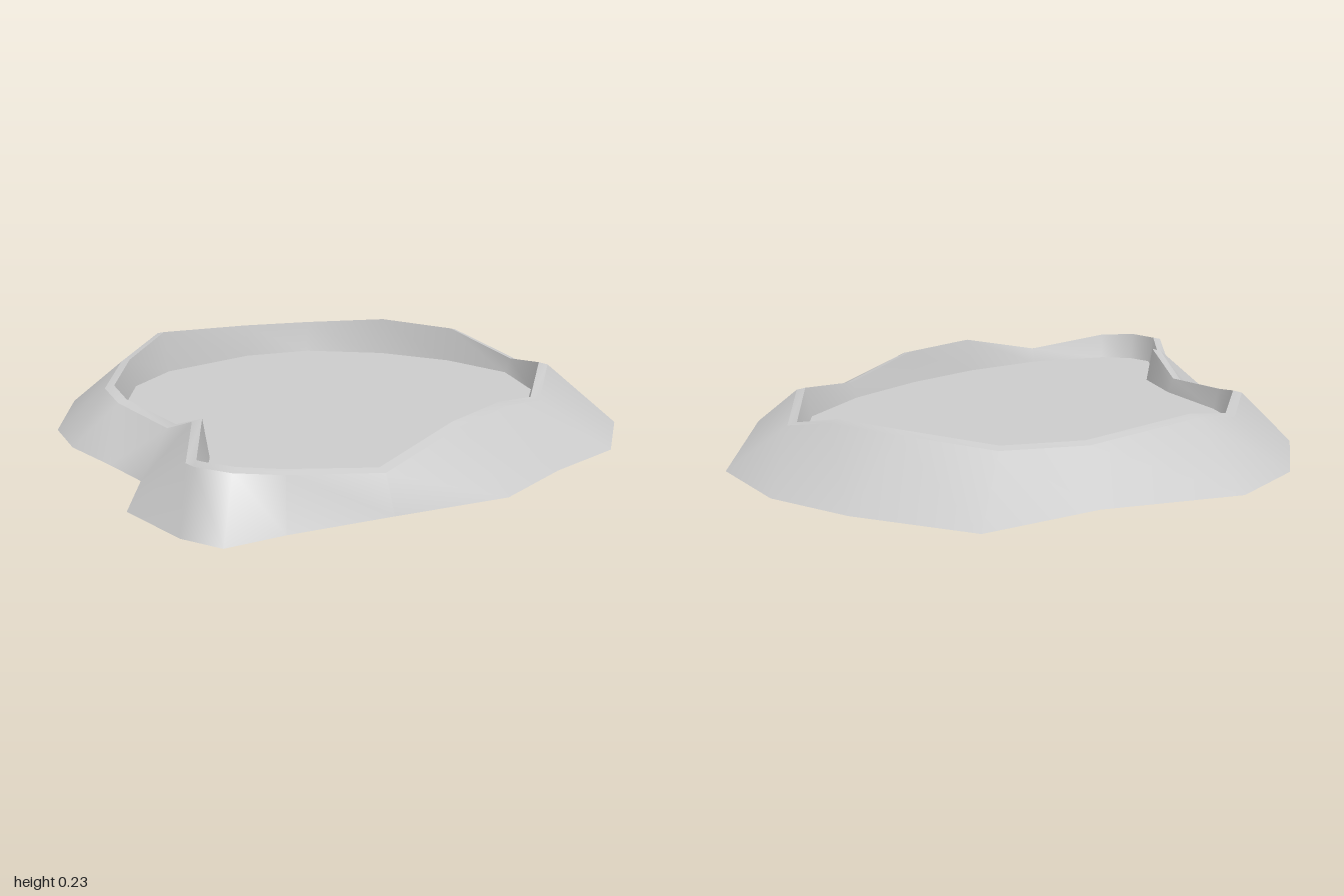
import * as THREE from 'three';

const WATER_Y = 0.09;

// One station per row around the pond: water edge x, z | crest height | outer foot x, y, z
const stations = [
  [-0.30, -0.67, 0.235, -0.40, 0.02, -0.88],
  [0.07, -0.74, 0.205, 0.13, 0.07, -1.00],
  [0.31, -0.69, 0.20, 0.46, 0.02, -0.94],
  [0.53, -0.50, 0.22, 0.76, 0.02, -0.65],
  [0.67, -0.26, 0.21, 0.93, 0.02, -0.40],
  [0.73, 0.01, 0.14, 1.00, 0.02, -0.06],
  [0.64, 0.27, 0.19, 0.77, 0.02, 0.55],
  [0.42, 0.49, 0.145, 0.53, 0.02, 0.79],
  [0.15, 0.66, 0.205, 0.24, 0.02, 0.87],
  [-0.12, 0.78, 0.21, -0.05, 0.02, 0.99],
  [-0.42, 0.85, 0.14, -0.42, 0.02, 0.95],
  [-0.71, 0.83, 0.18, -0.75, 0.02, 0.92],
  [-0.81, 0.77, 0.187, -0.94, 0.02, 0.92],
  [-0.85, 0.69, 0.185, -1.00, 0.02, 0.79],
  [-0.81, 0.57, 0.15, -1.00, 0.00, 0.46],
  [-0.69, 0.38, 0.21, -0.87, 0.02, 0.28],
  [-0.67, 0.16, 0.14, -0.88, 0.02, 0.08],
  [-0.70, -0.13, 0.16, -0.90, 0.02, -0.16],
  [-0.69, -0.24, 0.18, -0.86, 0.02, -0.38],
  [-0.50, -0.53, 0.185, -0.66, 0.02, -0.71],
];
const count = stations.length;
const edge = stations.map(([x, , , , , ], i) => new THREE.Vector2(x, stations[i][1]));

// Outward mitred offset of the water edge
function offset(i, distance) {
  const p = edge[i];
  const a = p.clone().sub(edge[(i + count - 1) % count]).normalize();
  const b = edge[(i + 1) % count].clone().sub(p).normalize();
  const n = new THREE.Vector2(a.y + b.y, -a.x - b.x).normalize();
  const mitre = distance / Math.max(0.6, n.x * b.y - n.y * b.x);
  return p.clone().addScaledVector(n, mitre);
}

// Ring of points at an offset from the water edge, heights given by a rule
function ring(distance, heightOf) {
  return stations.map((s, i) => {
    const p = offset(i, distance);
    return new THREE.Vector3(p.x, heightOf(s), p.y);
  });
}

// Closed, smooth-shaded band between two rings
function band(name, inner, outer, material) {
  const index = [];
  for (let i = 0; i < count; i++) {
    const j = (i + 1) % count;
    index.push(i, j, count + i, j, count + j, count + i);
  }
  const geometry = new THREE.BufferGeometry().setFromPoints([...inner, ...outer]);
  geometry.setIndex(index);
  geometry.computeVertexNormals();
  const mesh = new THREE.Mesh(geometry, material);
  mesh.name = name;
  return mesh;
}

export function createModel() {
  const group = new THREE.Group();
  group.name = 'pond';
  const material = new THREE.MeshStandardMaterial({ color: 0xcccccc, side: THREE.DoubleSide });

  // Bank: steep inner wall, narrow lip and long outer slope
  const waterline = ring(0, () => WATER_Y - 0.005);
  const crest = ring(0.02, (s) => s[2]);
  const lipEdge = ring(0.05, (s) => s[2] - 0.008);
  const foot = stations.map((s) => new THREE.Vector3(s[3], s[4], s[5]));
  group.add(
    band('innerWall', waterline, crest, material),
    band('lip', crest, lipEdge, material),
    band('outerSlope', lipEdge, foot, material),
  );

  // Flat water surface
  const shape = new THREE.Shape(edge.map((p) => new THREE.Vector2(p.x, -p.y)));
  const water = new THREE.Mesh(new THREE.ShapeGeometry(shape).rotateX(-Math.PI / 2), material);
  water.position.y = WATER_Y;
  water.name = 'water';
  group.add(water);

  return group;
}
